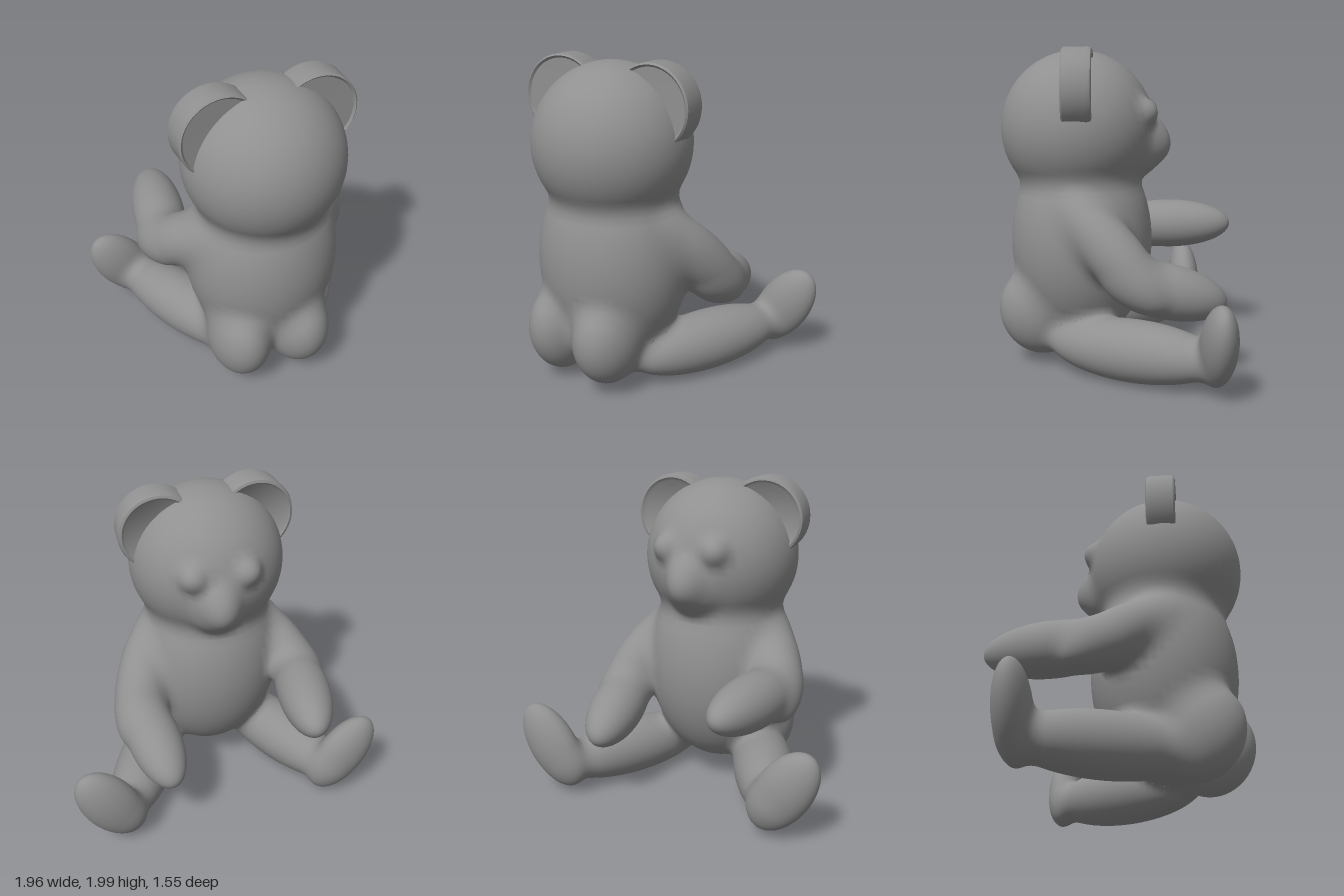
import * as THREE from 'three';
import { toCreasedNormals } from 'three/addons/utils/BufferGeometryUtils.js';

const material = new THREE.MeshStandardMaterial({ color: 0x909090 });
const UP = new THREE.Vector3(0, 1, 0);
const BLEND = 0.08; // width of the soft joints between parts

// Ellipsoid whose local y axis points along the given direction
function ellipsoid(name, limb, center, radii, axis = [0, 1, 0]) {
  const rotation = new THREE.Quaternion().setFromUnitVectors(UP, new THREE.Vector3(...axis).normalize());
  return {
    name, limb, rotation,
    center: new THREE.Vector3(...center),
    radii: new THREE.Vector3(...radii),
    inverse: rotation.clone().invert(),
  };
}

// Approximate signed distance from a point to an ellipsoid
const q = new THREE.Vector3();
function distance(part, p) {
  q.copy(p).sub(part.center).applyQuaternion(part.inverse).divide(part.radii);
  const k = q.length();
  return k * (k - 1) / Math.max(q.divide(part.radii).length(), 1e-6);
}

// Soft union of several ellipsoids
function field(parts, p) {
  let d = 1;
  for (const part of parts) {
    const e = distance(part, p);
    const h = Math.max(BLEND - Math.abs(d - e), 0) / BLEND;
    d = Math.min(d, e) - h * h * BLEND / 4;
  }
  return d;
}

const probe = new THREE.Vector3();
function gradient(parts, p, target) {
  const f = field(parts, p);
  const slope = (axis) => {
    probe.copy(p)[axis] += 0.001;
    return field(parts, probe) - f;
  };
  return target.set(slope('x'), slope('y'), slope('z')).normalize();
}

// Sphere shaped to the part, its skin drawn out into the joints with its neighbours
function blendedGeometry(part, neighbours) {
  const geometry = new THREE.SphereGeometry(1, 56, 40);
  geometry.applyMatrix4(new THREE.Matrix4().compose(part.center, part.rotation, part.radii));
  const { position, normal } = geometry.attributes;
  const p = new THREE.Vector3(), n = new THREE.Vector3();
  for (let i = 0; i < position.count; i++) {
    p.fromBufferAttribute(position, i);
    if (field(neighbours, p) > -0.04) {
      for (let step = 0; step < 4; step++) {
        gradient(neighbours, p, n);
        p.addScaledVector(n, -field(neighbours, p));
      }
    }
    gradient(neighbours, p, n);
    position.setXYZ(i, p.x, p.y, p.z);
    normal.setXYZ(i, n.x, n.y, n.z);
  }
  return geometry;
}

export function createModel() {
  const bear = new THREE.Group();
  bear.name = 'teddyBear';

  const parts = [
    // Torso, head and rump
    ellipsoid('body', 'trunk', [-0.08, 0.78, 0.245], [0.475, 0.66, 0.447]),
    ellipsoid('head', 'trunk', [-0.077, 1.49, 0.265], [0.482, 0.482, 0.48]),
    ellipsoid('leftRump', 'trunk', [0.03, 0.335, 0.515], [0.2, 0.28, 0.25], [0, 0.9, 0.42]),
    ellipsoid('rightRump', 'trunk', [-0.335, 0.325, 0.455], [0.19, 0.29, 0.25], [0, 0.9, 0.42]),

    // Face, looking towards -z
    ellipsoid('muzzle', 'trunk', [-0.035, 1.365, -0.09], [0.155, 0.17, 0.185]),
    ellipsoid('nose', 'trunk', [-0.025, 1.435, -0.2], [0.09, 0.13, 0.095], [0, 0.8, 0.55]),
    ellipsoid('leftEye', 'trunk', [0.127, 1.595, -0.15], [0.065, 0.065, 0.065]),
    ellipsoid('rightEye', 'trunk', [-0.2, 1.6, -0.178], [0.065, 0.065, 0.065]),

    // Arms: the left one hangs lower, the right one reaches forward
    ellipsoid('leftUpperArm', 'leftArm', [0.4, 0.79, 0.075], [0.165, 0.43, 0.17], [0.37, -0.7, -0.62]),
    ellipsoid('leftForearm', 'leftArm', [0.425, 0.555, -0.255], [0.168, 0.37, 0.165], [-0.1, -0.25, -0.96]),
    ellipsoid('rightUpperArm', 'rightArm', [-0.515, 0.87, 0.05], [0.165, 0.41, 0.165], [-0.38, -0.5, -0.75]),
    ellipsoid('rightForearm', 'rightArm', [-0.525, 0.79, -0.36], [0.165, 0.425, 0.165], [0.2, 0.03, -0.98]),

    // Legs
    ellipsoid('leftLeg', 'leftLeg', [0.425, 0.195, -0.045], [0.19, 0.56, 0.185], [0.5, 0.02, -0.87]),
    ellipsoid('rightLeg', 'rightLeg', [-0.495, 0.22, -0.05], [0.19, 0.56, 0.19], [-0.4, 0, -0.9]),
  ];
  // Feet tilted outward
  for (const [side, s] of [['left', 1], ['right', -1]]) {
    parts.push(ellipsoid(`${side}Foot`, `${side}Leg`, [0.77 * s, 0.325, -0.505],
      [0.166, 0.294, 0.108], [0.53 * s, 0.848, 0]));
  }

  // Limbs join the trunk but not one another
  for (const part of parts) {
    const neighbours = parts.filter((other) =>
      part.limb === 'trunk' || other.limb === 'trunk' || other.limb === part.limb);
    const mesh = new THREE.Mesh(blendedGeometry(part, neighbours), material);
    mesh.name = part.name;
    bear.add(mesh);
  }

  // Ears: thick discs with a thin raised rim on both faces
  const earProfile = [
    [0, -0.075], [0.225, -0.078], [0.238, -0.09], [0.248, -0.08], [0.25, 0.06],
    [0.243, 0.082], [0.228, 0.088], [0.21, 0.072], [0, 0.065],
  ].map(([r, h]) => new THREE.Vector2(r, h));
  const earGeometry = toCreasedNormals(new THREE.LatheGeometry(earProfile, 48), 0.7);
  for (const [name, x, y, turn] of [['leftEar', 0.225, 1.735, -0.06], ['rightEar', -0.37, 1.75, 0.02]]) {
    const ear = new THREE.Mesh(earGeometry, material);
    ear.name = name;
    ear.position.set(x, y, 0.268);
    ear.rotation.set(-Math.PI / 2, turn, 0, 'YXZ');
    bear.add(ear);
  }

  return bear;
}
